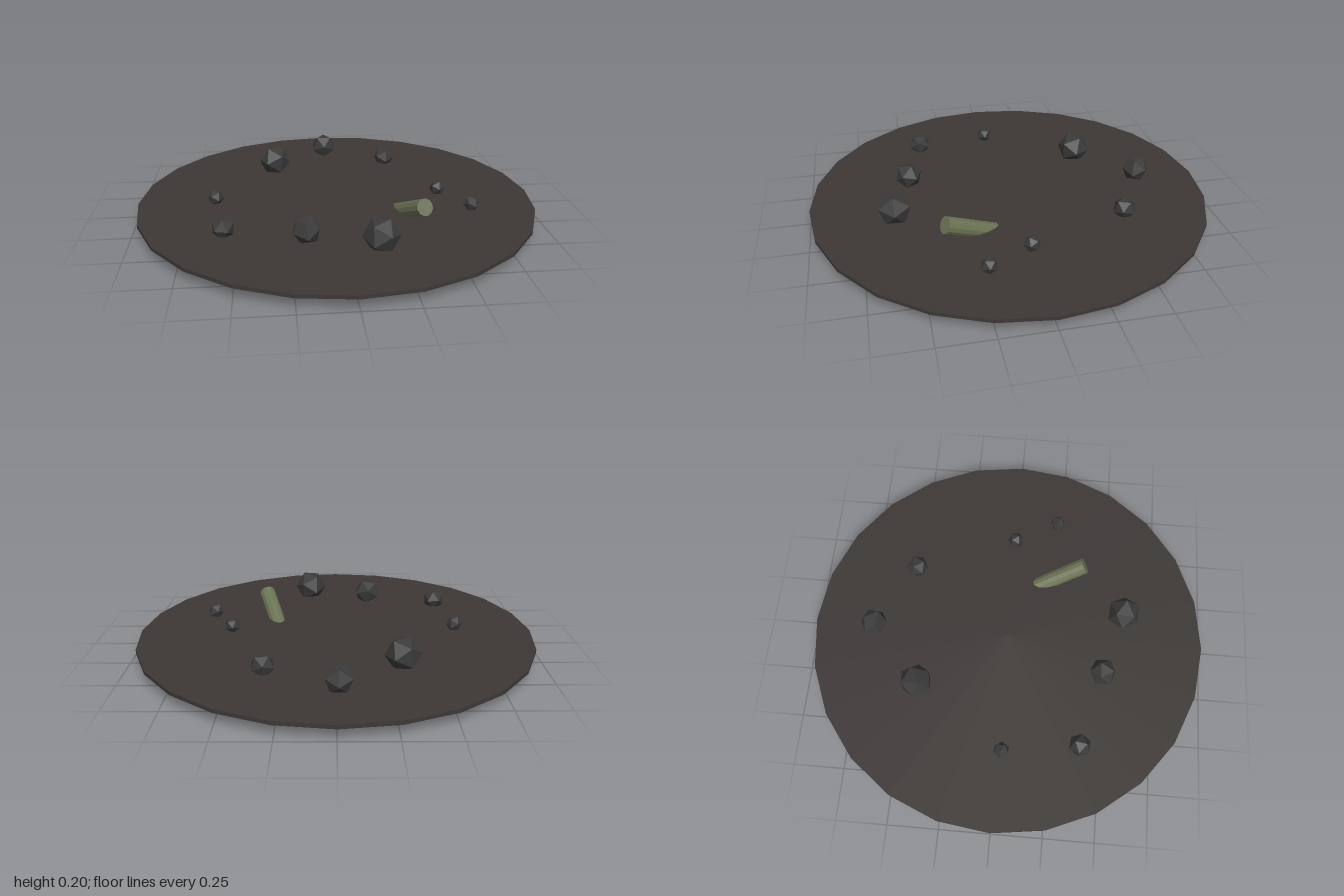
import * as THREE from 'three';

const mat = (color) => new THREE.MeshStandardMaterial({ color, flatShading: true });

export function createModel() {
  const group = new THREE.Group();
  const add = (name, geometry, material) => {
    const mesh = new THREE.Mesh(geometry, material);
    mesh.name = name;
    group.add(mesh);
    return mesh;
  };

  // Wide thin ground disc with a smaller, thicker base sunk beneath it
  add('groundDisc', new THREE.CylinderGeometry(1, 1, 0.018, 24), mat(0x3d3836)).position.y = 0.067;
  add('baseDisc', new THREE.CylinderGeometry(0.465, 0.465, 0.065, 16), mat(0x2a2725)).position.y = 0.0405;

  // Scattered rocks: x, y, z, radius
  const rockMaterial = mat(0x3a3a3a);
  const rocks = [
    [-0.01, 0.125, -0.69, 0.071],
    [0.33, 0.107, -0.51, 0.058],
    [-0.305, 0.13, -0.435, 0.087],
    [-0.61, 0.105, 0.02, 0.041],
    [-0.555, 0.11, 0.4, 0.057],
    [-0.18, 0.125, 0.495, 0.07],
    [0.145, 0.13, 0.59, 0.087],
    [0.65, 0.105, 0.22, 0.041],
    [0.53, 0.105, 0, 0.041],
  ];
  rocks.forEach(([x, y, z, r], i) => {
    const rock = add('rock' + (i + 1), new THREE.IcosahedronGeometry(r, 0), rockMaterial);
    rock.position.set(x, y, z);
    rock.rotation.set(i * 1.3 + 0.4, i * 2.1, i * 0.7);
  });

  // Log leaning up towards the front, its lower end buried in the ground
  const low = new THREE.Vector3(0.3, 0.04, 0.13);
  const high = new THREE.Vector3(0.383, 0.16, 0.374);
  const axis = high.clone().sub(low);
  const log = add('log', new THREE.CylinderGeometry(0.042, 0.041, axis.length(), 12), mat(0x6b7355));
  log.position.copy(low).add(high).multiplyScalar(0.5);
  log.quaternion.setFromUnitVectors(new THREE.Vector3(0, 1, 0), axis.normalize());

  return group;
}
